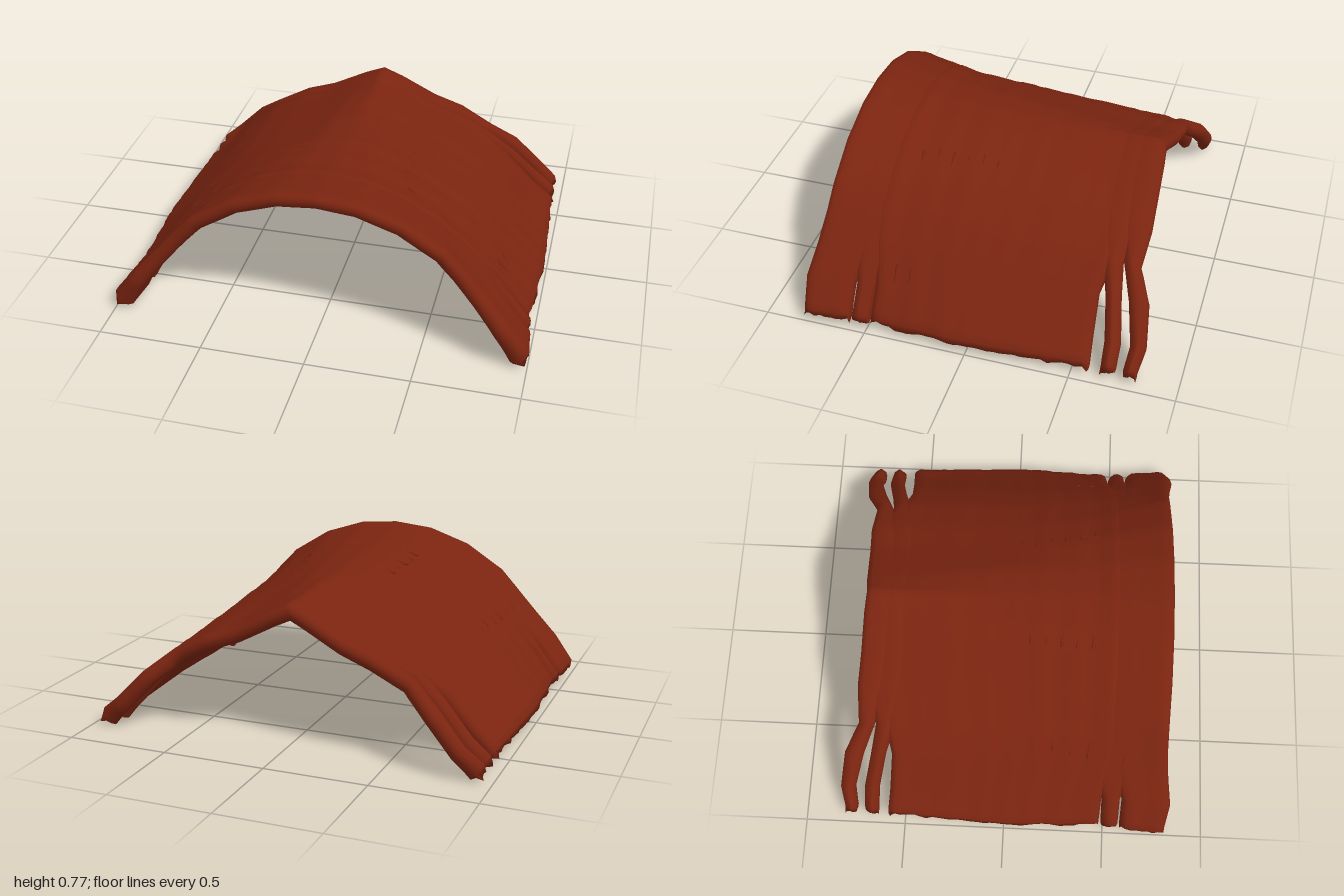
import * as THREE from 'three';

// Outer arch outlines [x, y] from crest to eave, at several depths
const SECTIONS = [
  { z: -0.65, p: [[0, .69], [.10, .645], [.28, .55], [.43, .495], [.6, .405], [.73, .3], [.87, .155], [.955, .085]] },
  { z: 0, p: [[0, .705], [.14, .685], [.28, .625], [.43, .555], [.6, .455], [.72, .355], [.87, .205], [.99, .085]] },
  { z: 0.45, p: [[0, .733], [.17, .715], [.34, .66], [.5, .57], [.64, .46], [.75, .355], [.88, .205], [.975, .085]] },
  { z: 0.77, p: [[0, .782], [.2, .763], [.41, .692], [.61, .565], [.7, .465], [.8, .345], [.91, .215], [1.005, .09]] },
];
const LAST = 7;

let seed = 7;
const rnd = () => (seed = (seed * 16807) % 2147483647) / 2147483647;
const { lerp, clamp } = THREE.MathUtils;

function sample(list, s) {
  const f = Math.min(Math.abs(s), 1) * LAST;
  const i = Math.min(Math.floor(f), LAST - 1);
  return lerp(list[i], list[i + 1], f - i);
}

// Point on the outer surface; s runs -1..1 from eave to eave
function surface(s, z) {
  const k = z < SECTIONS[1].z ? 0 : z < SECTIONS[2].z ? 1 : 2;
  const a = SECTIONS[k], b = SECTIONS[k + 1];
  const t = clamp((z - a.z) / (b.z - a.z), 0, 1);
  const at = (c) => lerp(sample(a.p.map((q) => q[c]), s), sample(b.p.map((q) => q[c]), s), t);
  return new THREE.Vector2(Math.sign(s) * at(0), at(1));
}

function tangent(s, z) {
  const h = 0.04;
  return surface(Math.min(s + h, 1), z).sub(surface(Math.max(s - h, -1), z)).normalize();
}

// A thick strip of thatch over the arch, between two edges given as z per station
function bandGeometry(zBack, zFront, inner, eave) {
  const rows = 58, edge = 0.03;
  const cols = 6 + inner, ring = cols * 2;
  const groove = [], fray = [];
  for (let k = 0; k < cols; k++) {
    const side = Math.abs((2 * k) / (cols - 1) - 1);
    groove.push(rnd() * 0.006);
    fray.push((rnd() - 0.5) * lerp(0.012, 0.04, side ** 4));
  }
  const pos = [], idx = [];
  for (let r = 0; r <= rows; r++) {
    // The first and last rings only round off the eaves
    const tip = r === 0 || r === rows;
    const s = clamp(-1 + (2 * (r - 1)) / (rows - 2), -1, 1);
    const z0 = sample(zBack, s), z1 = sample(zFront, s), w = z1 - z0;
    const dist = [0, 0.008, edge];
    for (let k = 1; k <= inner; k++) dist.push(lerp(edge, w - edge, k / (inner + 1)));
    dist.push(w - edge, w - 0.008, w);
    const top = [], bottom = [];
    dist.forEach((d, k) => {
      const z = z0 + d;
      const e = clamp(Math.min(d, w - d) / edge, 0, 1);
      const round = Math.max(0.2, Math.sqrt(1 - (1 - e) ** 2));
      const thick = lerp(0.078, eave, Math.abs(s) ** 8);
      const tan = tangent(s, z);
      const p = surface(s, z);
      const place = (depth, reach) => {
        const out = tip ? Math.sign(s) * reach : 0;
        return [p.x + tan.y * depth + tan.x * out, Math.max(p.y - tan.x * depth + tan.y * out, 0.005), z];
      };
      // Depth runs along the inward normal, which points down from either flank
      top.push(place(thick * (0.5 - round / 2) + groove[k] * e + (tip ? 0.022 * round : 0), 0.026 + fray[k]));
      bottom.unshift(place(thick * (0.5 + round / 2), 0.004 + fray[k] / 2));
    });
    pos.push(...top.flat(), ...bottom.flat());
  }
  for (let r = 0; r < rows; r++) {
    for (let k = 0; k < ring; k++) {
      const a = r * ring + k, b = r * ring + ((k + 1) % ring);
      idx.push(a, b, a + ring, b, b + ring, a + ring);
    }
  }
  // Closed ends
  for (let k = 0; k < cols - 1; k++) {
    const b = ring - 1 - k, o = rows * ring;
    idx.push(k, b, k + 1, k + 1, b, b - 1);
    idx.push(o + k, o + k + 1, o + b, o + k + 1, o + b - 1, o + b);
  }
  const g = new THREE.BufferGeometry();
  g.setAttribute('position', new THREE.Float32BufferAttribute(pos, 3));
  g.setIndex(idx);
  g.computeVertexNormals();
  return g;
}

export function createModel() {
  const group = new THREE.Group();
  const thatch = new THREE.MeshStandardMaterial({ color: 0x7a2410 });
  thatch.name = 'russet thatch';

  // Strips from front to back; they overlap over the crest and part at the eaves
  const bands = [
    ['frontBand', [.50, .50, .50, .50, .50, .53, .585, .585], [.78, .78, .78, .78, .785, .80, .825, .81], 5, .11],
    ['frontStrand', [.40, .40, .40, .40, .40, .43, .485, .49], [.64, .64, .64, .64, .64, .61, .575, .575], 2, .11],
    ['mainCover', [-.64, -.64, -.64, -.63, -.60, -.565, -.575, -.585], [.54, .54, .54, .54, .54, .52, .483, .478], 30, .075],
    ['innerBackStrand', [-.69, -.69, -.69, -.69, -.645, -.67, -.705, -.705], [-.50, -.50, -.50, -.51, -.55, -.595, -.63, -.635], 1, .11],
    ['outerBackStrand', [-.71, -.72, -.73, -.74, -.73, -.80, -.825, -.805], [-.57, -.57, -.58, -.60, -.65, -.705, -.75, -.74], 1, .10],
  ];
  for (const [name, zBack, zFront, inner, eave] of bands) {
    const mesh = new THREE.Mesh(bandGeometry(zBack, zFront, inner, eave), thatch);
    mesh.name = name;
    group.add(mesh);
  }

  // Small loose tufts lying along the slope
  const tuftGeometry = new THREE.ConeGeometry(0.01, 0.1, 6);
  const rows = [[0.33, 0.04, 0.4, 6], [-0.17, 0.1, 0.4, 5], [-0.62, 0.14, 0.58, 6], [0.81, 0.32, 0.46, 3]];
  for (const [s, zStart, zEnd, count] of rows) {
    for (let i = 0; i < count; i++) {
      const z = lerp(zStart, zEnd, i / (count - 1));
      const p = surface(s, z), t = tangent(s, z);
      const tuft = new THREE.Mesh(tuftGeometry, thatch);
      tuft.name = 'looseTuft';
      tuft.position.set(p.x + t.y * 0.006, p.y - t.x * 0.006, z);
      tuft.rotation.z = Math.atan2(t.y, t.x) - Math.PI / 2;
      tuft.scale.y = 0.6 + rnd() * 0.6;
      group.add(tuft);
    }
  }
  return group;
}
